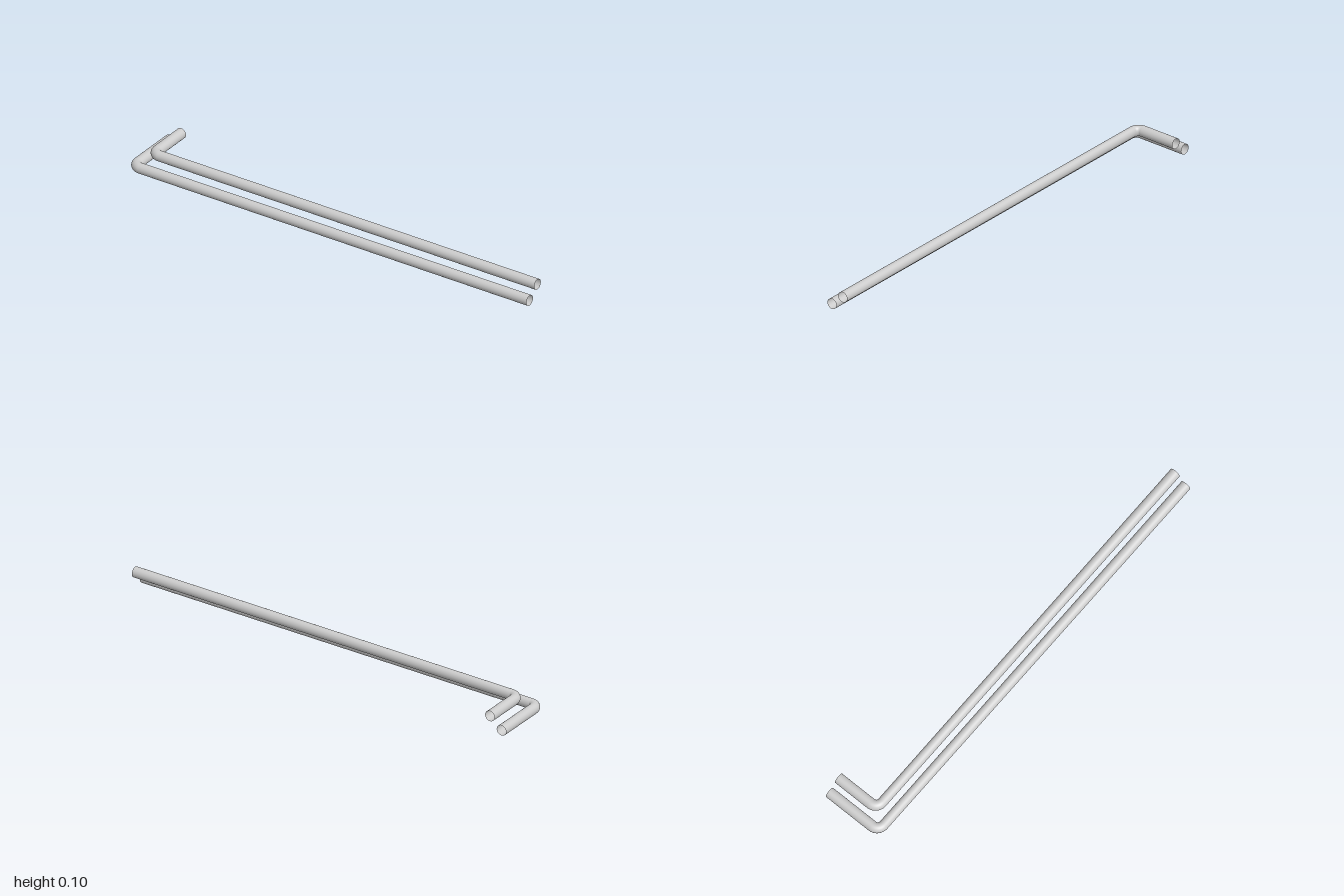
import * as THREE from 'three';

const RADIUS = 0.0237, BEND = 0.032, SIDES = 32, ARC_STEPS = 12;
const X_END = 1, Z_END = -0.142;

// Open L-shaped pipe: a long run along x, a tight elbow, a short leg towards -z.
// cx is the centre of the short leg, cz the centre of the long run.
function pipeGeometry(cx, cy, cz) {
  // Stations: centre, outward direction of the bend, squeeze of the inner side
  const stations = [{ x: X_END, z: cz, nx: 0, nz: 1, squeeze: 0 }];
  for (let i = 0; i <= ARC_STEPS; i++) {
    const t = i / ARC_STEPS, a = t * Math.PI / 2;
    const nx = -Math.sin(a), nz = Math.cos(a);
    stations.push({
      x: cx + BEND + BEND * nx, z: cz - BEND + BEND * nz,
      nx, nz, squeeze: 0.22 * (1 - t),
    });
  }
  stations.push({ x: cx, z: Z_END, nx: -1, nz: 0, squeeze: 0 });

  const positions = [], index = [];
  for (const s of stations) {
    for (let j = 0; j < SIDES; j++) {
      const a = j / SIDES * Math.PI * 2;
      let out = Math.cos(a) * RADIUS;
      if (out < 0) out *= 1 - s.squeeze;
      positions.push(s.x + s.nx * out, cy + Math.sin(a) * RADIUS, s.z + s.nz * out);
    }
  }
  for (let i = 0; i < stations.length - 1; i++) {
    for (let j = 0; j < SIDES; j++) {
      const k = (j + 1) % SIDES;
      const a = i * SIDES + j, b = i * SIDES + k;
      const c = a + SIDES, d = b + SIDES;
      index.push(a, b, c, b, d, c);
    }
  }
  const geometry = new THREE.BufferGeometry();
  geometry.setAttribute('position', new THREE.Float32BufferAttribute(positions, 3));
  geometry.setIndex(index);
  geometry.computeVertexNormals();
  return geometry;
}

export function createModel() {
  const group = new THREE.Group();
  group.name = 'bentPipes';
  const material = new THREE.MeshStandardMaterial({ color: 0xcccccc, side: THREE.DoubleSide });

  const pipes = [
    ['lowerPipe', -0.976, RADIUS, 0.119],
    ['upperPipe', -0.918, 0.0733, 0.062],
  ];
  for (const [name, cx, cy, cz] of pipes) {
    const pipe = new THREE.Mesh(pipeGeometry(cx, cy, cz), material);
    pipe.name = name;
    group.add(pipe);
  }
  return group;
}
